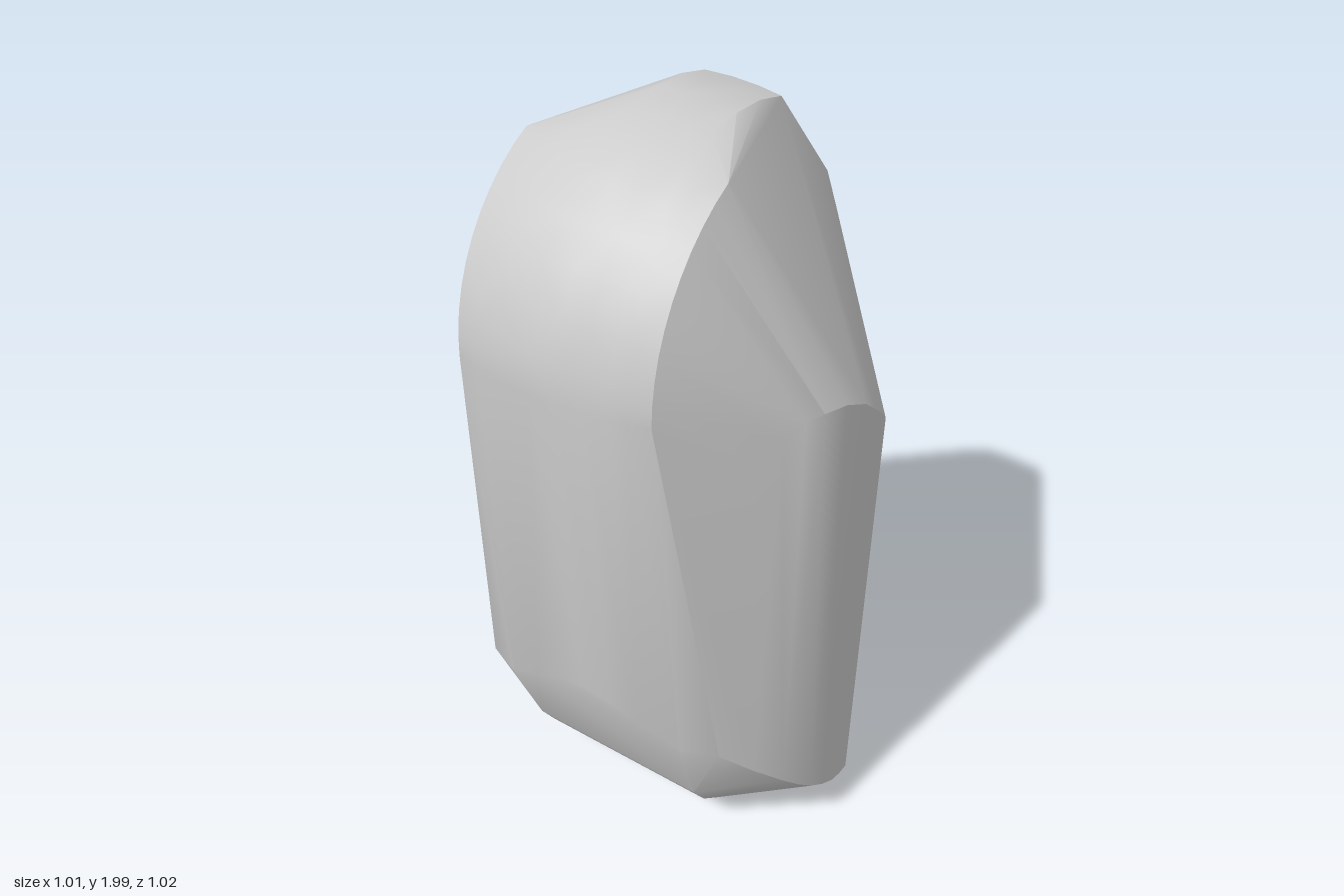
import * as THREE from 'three';
import { ConvexGeometry } from 'three/addons/geometries/ConvexGeometry.js';
import { toCreasedNormals } from 'three/addons/utils/BufferGeometryUtils.js';

export function createModel() {
  const points = [];
  const add = (x, y, z) => points.push(new THREE.Vector3(x, y, z));
  const mirror = (x, y, z) => { add(x, y, z); add(-x, y, z); };

  // Rounded head: arcs in the side plane, each [x, end angle in degrees]
  const arcs = [[-0.26, 66], [-0.2, 66], [-0.13, 66], [-0.04, 110], [0.03, 110], [0.1, 110], [0.16, 110], [0.2, 66], [0.25, 66]];
  for (const [x, end] of arcs) {
    const r = 0.515 - 0.6 * x * x;
    for (let i = 0; i <= 10; i++) {
      const a = THREE.MathUtils.degToRad(end * i / 10);
      add(x, 1.485 + r * Math.sin(a), r * Math.cos(a));
    }
  }

  // Upper back ridge and the low corner beside it
  for (const x of [-0.06, 0.18]) {
    add(x, 1.7, -0.375);
    add(x, 1.59, -0.43);
    add(x, 1.47, -0.465);
  }
  add(-0.28, 1.3, -0.465);

  // Upright cylinder sides: top and bottom rims as [z, y]
  const sideX = z => Math.sqrt(0.505 ** 2 - (z + 0.01) ** 2);
  const upperRim = [[0.3, 1.33], [0.25, 1.39], [0.2, 1.42], [0.15, 1.42], [0.08, 1.41], [0, 1.37], [-0.06, 1.32],
    [-0.12, 1.27], [-0.2, 1.2], [-0.28, 1.1], [-0.35, 1.02]];
  const lowerRim = [[0.35, 0.45], [0.28, 0.37], [0.2, 0.285], [0.15, 0.235], [0.1, 0.19], [0.05, 0.155],
    [0, 0.125], [-0.05, 0.105], [-0.1, 0.085]];
  for (const [z, y] of [...upperRim, ...lowerRim]) mirror(sideX(z), y, z);
  mirror(0.46, 0.068, -0.17);
  mirror(0.34, 0.98, -0.415);
  mirror(0.34, 0.74, -0.415);

  // Curved lower edge of the front panel
  add(0, 0.57, 0.43);
  mirror(0.08, 0.555, 0.428);
  mirror(0.15, 0.52, 0.419);
  mirror(0.26, 0.45, 0.388);

  // Rounded underside, slightly lower on one side
  for (const [x, lift] of [[-0.25, 0.022], [0.25, 0.002]]) {
    for (let i = 0; i <= 9; i++) {
      const a = THREE.MathUtils.degToRad(-27 - 126 * i / 9);
      add(x, 0.37 + lift + 0.37 * Math.sin(a), -0.03 + 0.37 * Math.cos(a));
    }
  }

  // Lower back bulge with a small flat disc
  for (let i = 0; i < 20; i++) {
    const a = i / 20 * Math.PI * 2;
    add(0.02 + 0.085 * Math.cos(a), 0.8 + 0.085 * Math.sin(a), -0.51);
  }
  mirror(0.16, 0.6, -0.478);
  mirror(0.2, 0.8, -0.494);
  mirror(0.28, 0.85, -0.465);

  const geometry = toCreasedNormals(new ConvexGeometry(points), THREE.MathUtils.degToRad(22));
  const body = new THREE.Mesh(geometry, new THREE.MeshStandardMaterial({ color: 0xcccccc }));
  body.name = 'roundedBody';
  const group = new THREE.Group();
  group.name = 'facetedCapsule';
  group.add(body);
  return group;
}
